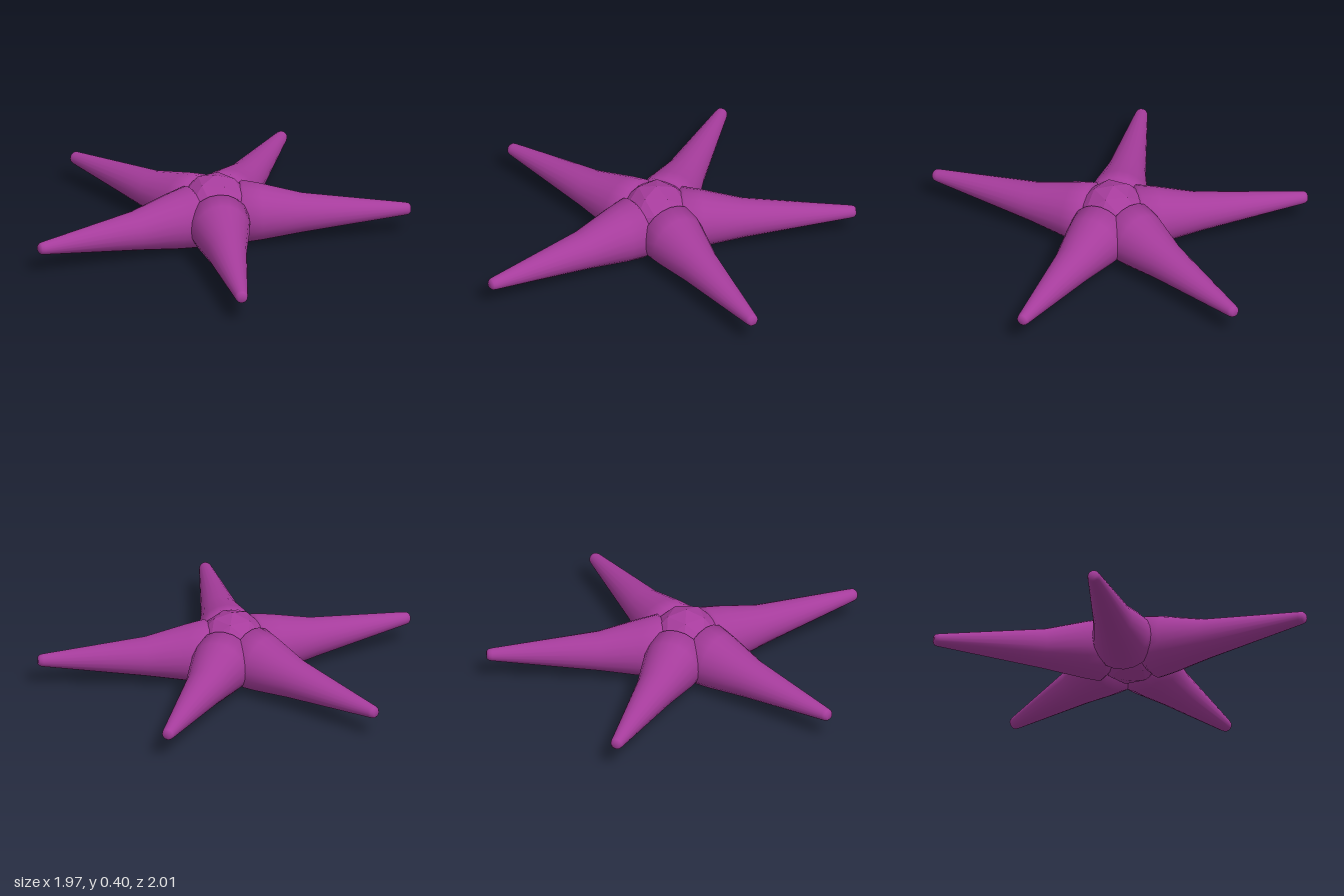
import * as THREE from 'three';

const CENTER = { x: 0.11, z: 0 };

// Tapering arm along +x: lathe profile (radius, distance from the centre)
function armGeometry(length) {
  const profile = [
    [0, 0.06], [0.1, 0.08], [0.174, 0.15], [0.158, 0.25], [0.11, 0.48],
    [0.036, length - 0.03], [0.032, length - 0.012], [0.02, length], [0, length],
  ].map(([r, d]) => new THREE.Vector2(r, d));
  const geo = new THREE.LatheGeometry(profile, 20);
  geo.rotateZ(-Math.PI / 2);
  // Raise the root slightly so the back humps while the underside stays flatter
  const p = geo.attributes.position;
  for (let i = 0; i < p.count; i++) {
    const lift = 0.02 * THREE.MathUtils.clamp((0.48 - p.getX(i)) / 0.33, 0, 1);
    p.setY(i, p.getY(i) + lift);
  }
  return geo;
}

export function createModel() {
  const group = new THREE.Group();
  group.name = 'starfish';
  const color = 0xa63c9c;
  const skin = new THREE.MeshStandardMaterial({ color });
  const facetedSkin = new THREE.MeshStandardMaterial({ color, flatShading: true });

  // Faceted central body with one vertex pointing straight up
  const bodyGeo = new THREE.IcosahedronGeometry(0.2, 1);
  bodyGeo.rotateX(-Math.atan2((1 + Math.sqrt(5)) / 2, 1));
  const body = new THREE.Mesh(bodyGeo, facetedSkin);
  body.name = 'body';
  body.position.set(CENTER.x, 0.21, CENTER.z);
  group.add(body);

  // Five arms, each given by the x, z of its tip
  const tips = [[-0.985, 0], [-0.35, -1], [0.815, -0.815], [0.97, 0.67], [-0.28, 0.992]];
  tips.forEach(([x, z], i) => {
    const dx = x - CENTER.x, dz = z - CENTER.z;
    const arm = new THREE.Mesh(armGeometry(Math.hypot(dx, dz)), skin);
    arm.name = `arm${i + 1}`;
    arm.position.set(CENTER.x, 0.165, CENTER.z);
    arm.rotation.y = -Math.atan2(dz, dx);
    group.add(arm);
  });

  return group;
}
